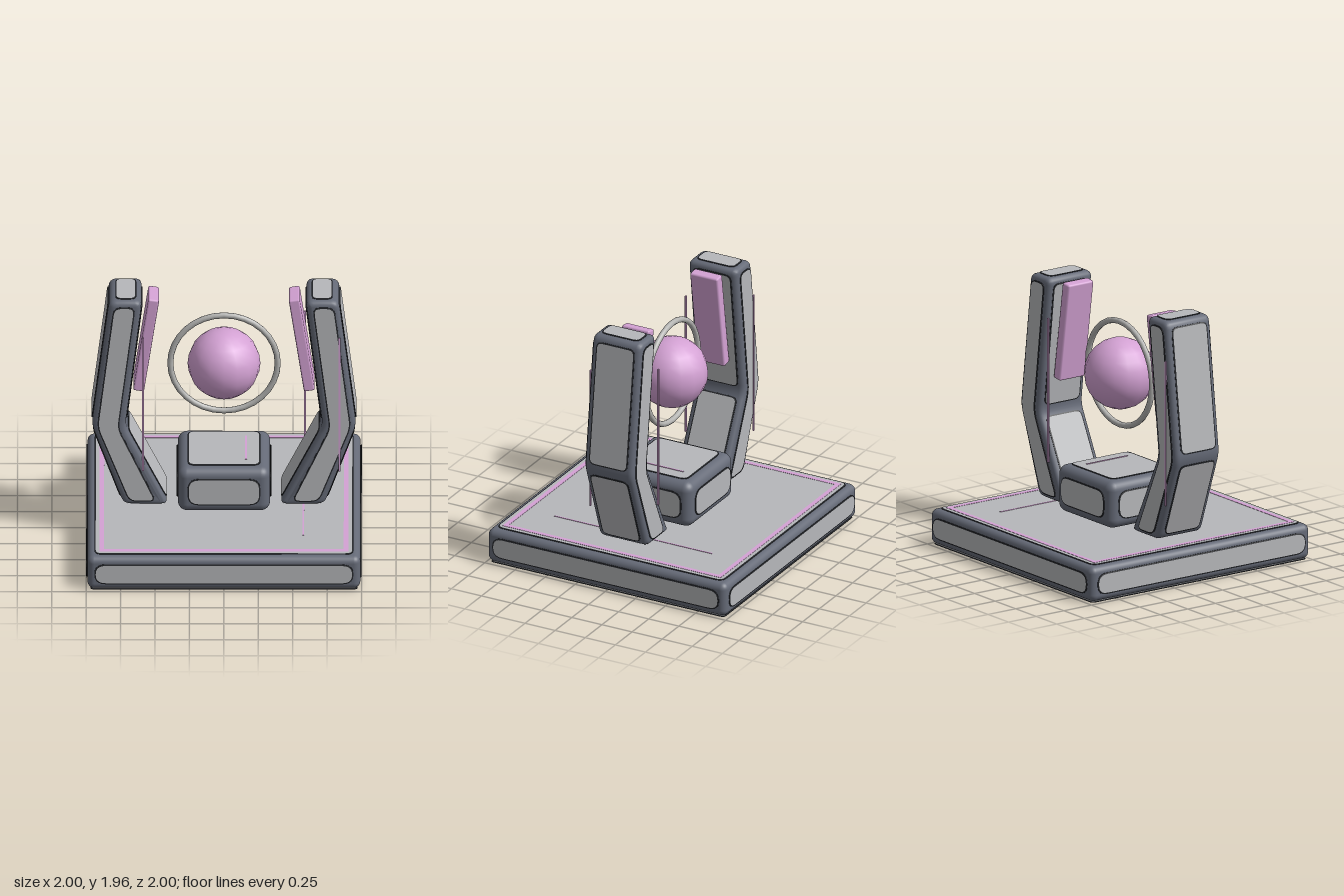
import * as THREE from 'three';
import { toCreasedNormals } from 'three/addons/utils/BufferGeometryUtils.js';
import { RoundedBoxGeometry } from 'three/addons/geometries/RoundedBoxGeometry.js';

const V = (x, y, z) => new THREE.Vector3(x, y, z);

const material = (name, color) => {
  const m = new THREE.MeshStandardMaterial({ color });
  m.name = name;
  return m;
};

// Closed outline through the points, with rounded corners
function roundedShape(points, radius) {
  const pts = points.map(([x, y]) => new THREE.Vector2(x, y));
  const shape = new THREE.Shape();
  pts.forEach((p, i) => {
    const toward = (q) => {
      const len = p.distanceTo(q);
      return p.clone().lerp(q, Math.min(radius, len * 0.48) / len);
    };
    const a = toward(pts[(i + pts.length - 1) % pts.length]);
    const b = toward(pts[(i + 1) % pts.length]);
    if (i === 0) shape.moveTo(a.x, a.y);
    else shape.lineTo(a.x, a.y);
    shape.quadraticCurveTo(p.x, p.y, b.x, b.y);
  });
  return shape;
}

const rect = (w, h) => [[-w / 2, -h / 2], [w / 2, -h / 2], [w / 2, h / 2], [-w / 2, h / 2]];

export function createModel() {
  const frame = material('slate frame', 0x666b78);
  const panel = material('light grey panel', 0xb6b7ba);
  const rim = material('dark panel rim', 0x25272b);
  const pink = material('pink glow', 0xd4a2d4);
  const metal = material('ring grey', 0xb4b4b2);

  const model = new THREE.Group();
  const add = (parent, name, geometry, mat, x = 0, y = 0, z = 0) => {
    const mesh = new THREE.Mesh(geometry, mat);
    mesh.name = name;
    mesh.position.set(x, y, z);
    parent.add(mesh);
    return mesh;
  };

  // Thin plate with a light face and dark chamfered rim, facing along the normal
  const addPlate = (parent, name, points, radius, position, normal) => {
    const geometry = new THREE.ExtrudeGeometry(roundedShape(points, radius), {
      depth: 0.003, bevelSize: 0.01, bevelOffset: -0.01, bevelThickness: 0.003,
      bevelSegments: 1, curveSegments: 5,
    });
    const mesh = add(parent, name, geometry, [panel, rim], position.x, position.y, position.z);
    mesh.quaternion.setFromRotationMatrix(
      new THREE.Matrix4().lookAt(normal, V(0, 0, 0), V(0, 1, 0)));
    mesh.position.addScaledVector(normal, 0.003);
    return mesh;
  };

  // Rounded box with a plate on each side and on top
  const panelledBox = (name, size, height, y0, radius, inset) => {
    const group = new THREE.Group();
    group.name = name;
    model.add(group);
    const yc = y0 + height / 2;
    add(group, name + 'Frame', new RoundedBoxGeometry(size, height, size, 4, radius), frame, 0, yc, 0);
    const side = rect(size - 2 * inset, height - 2 * inset);
    for (const n of [V(0, 0, 1), V(0, 0, -1), V(1, 0, 0), V(-1, 0, 0)]) {
      addPlate(group, name + 'SidePanel', side, 0.085,
        n.clone().multiplyScalar(size / 2).setY(yc), n);
    }
    const top = size - 2 * inset;
    addPlate(group, name + 'TopPanel', rect(top, top), 0.06, V(0, y0 + height, 0), V(0, 1, 0));
    return group;
  };

  // Base slab with underside and square trim
  const base = panelledBox('base', 1.982, 0.262, 0.007, 0.05, 0.05);
  addPlate(base, 'undersidePanel', rect(1.94, 1.94), 0.03, V(0, 0.007, 0), V(0, -1, 0));
  const square = roundedShape(rect(1.81, 1.81), 0.002);
  square.holes.push(roundedShape(rect(1.74, 1.74), 0.002));
  const trim = add(base, 'squareTrim',
    new THREE.ExtrudeGeometry(square, { depth: 0.005, bevelEnabled: false }), pink, 0, 0.275, 0);
  trim.rotation.x = -Math.PI / 2;
  add(base, 'floorLine', new THREE.BoxGeometry(0.012, 0.006, 1.31), pink, 0.577, 0.278, 0);

  // Pedestal under the orb
  const pedestal = panelledBox('pedestal', 0.67, 0.355, 0.29, 0.07, 0.07);
  add(pedestal, 'pedestalLine', new THREE.BoxGeometry(0.012, 0.008, 0.37), pink, 0.16, 0.654, 0);

  // Floating orb and ring
  add(model, 'orb', new THREE.SphereGeometry(0.265, 16, 12), pink, 0, 1.35, 0);
  add(model, 'ring', new THREE.TorusGeometry(0.39, 0.022, 10, 32), metal, 0, 1.35, 0);

  // Bent arms: the second is the first turned half way round
  const outline = [[0.40, 0.288], [0.73, 0.288], [0.96, 0.93], [0.832, 1.952], [0.594, 1.952], [0.717, 0.925]];
  const facePanel = [[0.49, 0.32], [0.69, 0.32], [0.923, 0.93], [0.803, 1.912], [0.642, 1.912], [0.765, 0.92]];
  const halfDepth = 0.202, bevel = 0.04;

  const buildArm = (name) => {
    const arm = new THREE.Group();
    arm.name = name;
    const body = new THREE.ExtrudeGeometry(roundedShape(outline, 0.055), {
      depth: 2 * (halfDepth - bevel), bevelSize: bevel, bevelOffset: -bevel,
      bevelThickness: bevel, bevelSegments: 4, curveSegments: 5,
    });
    add(arm, 'armFrame', toCreasedNormals(body, 0.7), frame, 0, 0, bevel - halfDepth);

    // Front and back panels
    addPlate(arm, 'armFacePanel', facePanel, 0.06, V(0, 0, halfDepth), V(0, 0, 1));
    addPlate(arm, 'armFacePanel', facePanel.map(([x, y]) => [-x, y]), 0.06,
      V(0, 0, -halfDepth), V(0, 0, -1));

    // A panel on every edge of the outline except the foot
    for (let i = 1; i < outline.length; i++) {
      const a = V(...outline[i], 0), b = V(...outline[(i + 1) % outline.length], 0);
      const d = b.clone().sub(a), len = d.length();
      const normal = V(d.y, -d.x, 0).normalize();
      const w = 2 * halfDepth - 0.085, l = len - 0.085;
      const upward = Math.abs(normal.y) > 0.99;
      addPlate(arm, 'armEdgePanel', upward ? rect(l, w) : rect(w, l), 0.05,
        a.add(b).multiplyScalar(0.5), normal);
    }

    // Glowing slab along the inner side
    const slab = add(arm, 'glowSlab', new RoundedBoxGeometry(0.08, 0.755, 0.23, 1, 0.014), pink, 0.565, 1.55, 0);
    slab.rotation.z = 0.148;

    // Thin upright lines, front and back
    const line = new THREE.BoxGeometry(0.014, 1.09, 0.01);
    add(arm, 'uprightLine', line, pink, 0.84, 1.12, 0.212);
    add(arm, 'uprightLine', line, pink, 0.588, 1.12, -0.212);
    return arm;
  };

  const leftArm = buildArm('leftArm');
  const rightArm = buildArm('rightArm');
  rightArm.rotation.y = Math.PI;
  model.add(leftArm, rightArm);

  return model;
}
